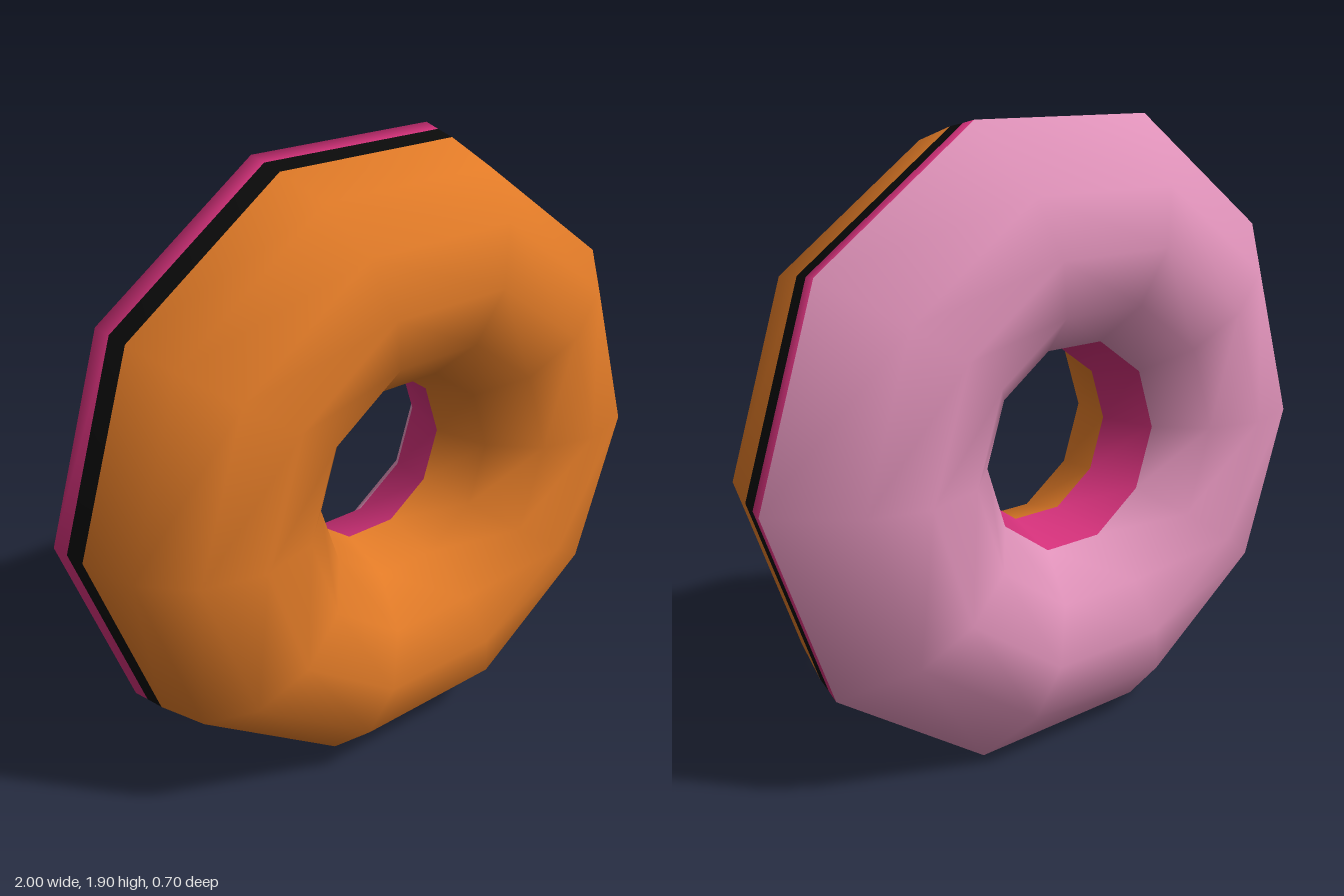
import * as THREE from 'three';

const SIDES = 10;

// Closed ring cross-section as (radius, depth), from the hole round the back to the front
const PROFILE = [
  [0.275, 0], [0.322, -0.175], [0.45, -0.303], [0.625, -0.35], [0.8, -0.303], [1, -0.12],
  [0.989, -0.065], [0.977, 0],
  [0.928, 0.175], [0.8, 0.303], [0.625, 0.35], [0.45, 0.303], [0.322, 0.175], [0.275, 0],
].map(([r, z]) => new THREE.Vector2(r, z));

function material(name, color) {
  const m = new THREE.MeshStandardMaterial({ color });
  m.name = name;
  return m;
}

// Band of the ring between two profile points; normals stay smooth across bands
function band(name, from, to, mat) {
  const geo = new THREE.LatheGeometry(PROFILE, SIDES, Math.PI / 2);
  const rows = PROFILE.length - 1;
  const all = Array.from(geo.index.array);
  const kept = [];
  for (let i = 0; i < SIDES; i++) {
    kept.push(...all.slice((i * rows + from) * 6, (i * rows + to) * 6));
  }
  geo.setIndex(kept);
  geo.rotateX(Math.PI / 2);
  const mesh = new THREE.Mesh(geo, mat);
  mesh.name = name;
  return mesh;
}

export function createModel() {
  const dough = material('orange dough', 0xe07a27);
  const icing = material('light pink icing', 0xde91b8);
  const filling = material('magenta filling', 0xd03078);
  const stripe = material('black stripe', 0x0a0a0a);

  const ring = new THREE.Group();
  ring.name = 'doughnut';
  ring.add(
    band('innerFilling', 0, 1, filling),
    band('backIcing', 1, 5, icing),
    band('outerFilling', 5, 6, filling),
    band('outerStripe', 6, 7, stripe),
    band('frontDough', 7, 13, dough),
  );
  // Stand the ring on its lowest flat side
  ring.position.y = Math.cos(Math.PI / SIDES);

  const model = new THREE.Group();
  model.name = 'model';
  model.add(ring);
  return model;
}
